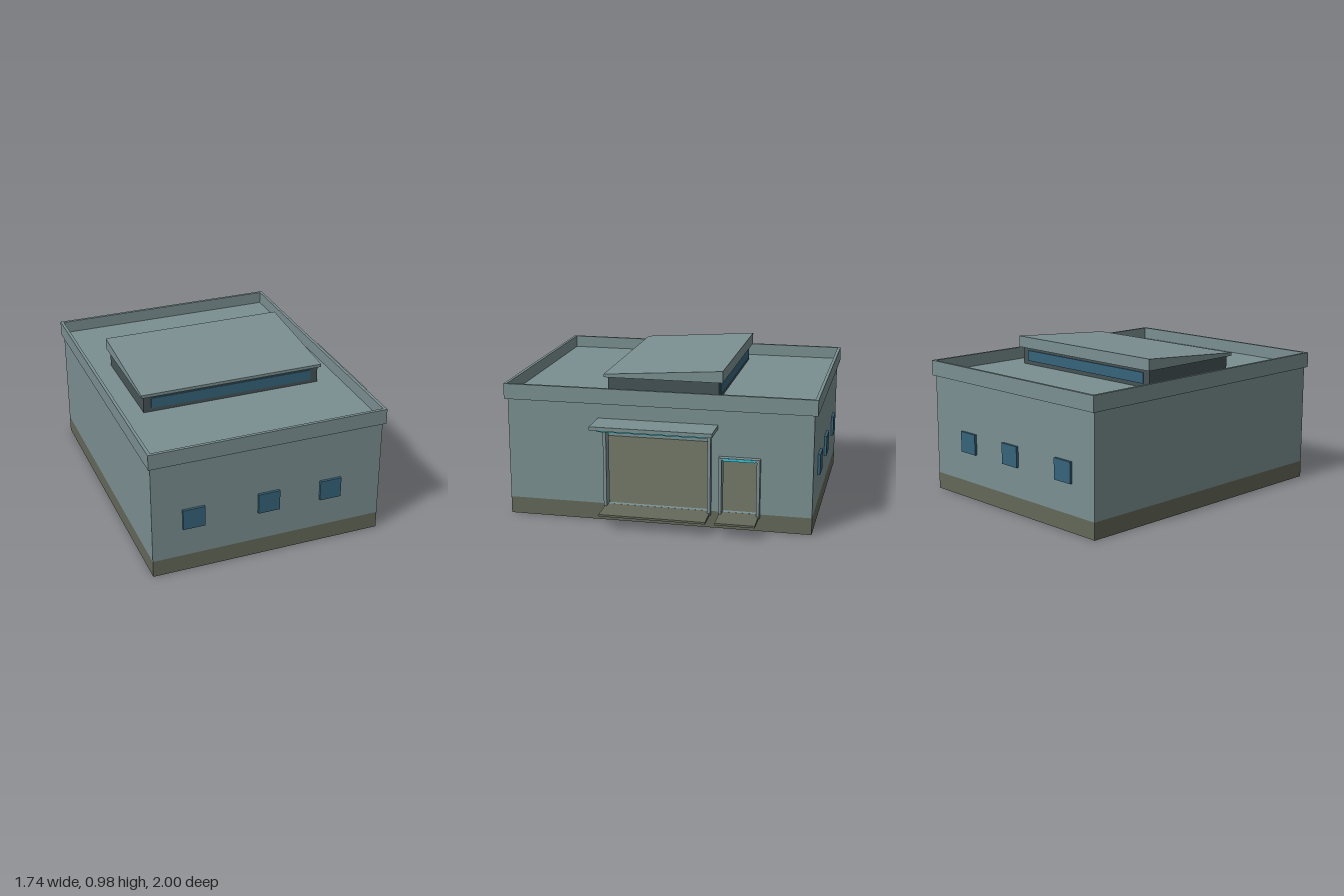
import * as THREE from 'three';

const material = (name, color) => {
  const m = new THREE.MeshStandardMaterial({ color });
  m.name = name;
  return m;
};

export function createModel() {
  const model = new THREE.Group();
  model.name = 'building';
  const wall = material('grey wall', 0x7b8f91);
  const olive = material('olive base', 0x636859);
  const glass = material('blue glass', 0x36647a);
  const dark = material('dark frame', 0x455355);
  const light = material('cyan light', 0x2fc4d8);

  const add = (name, geometry, mat, parent = model) => {
    const mesh = new THREE.Mesh(geometry, mat);
    mesh.name = name;
    parent.add(mesh);
    return mesh;
  };
  // Box given by its limits on each axis
  const box = (name, mat, x0, x1, y0, y1, z0, z1, parent) => {
    const g = new THREE.BoxGeometry(x1 - x0, y1 - y0, z1 - z0);
    g.translate((x0 + x1) / 2, (y0 + y1) / 2, (z0 + z1) / 2);
    return add(name, g, mat, parent);
  };
  const polygon = (points, Kind = THREE.Shape) =>
    new Kind(points.map(([a, b]) => new THREE.Vector2(a, b)));
  const rect = (a0, a1, b0, b1) => [[a0, b0], [a1, b0], [a1, b1], [a0, b1]];
  // Outline in (-z, y), pushed along x from x0 to x1
  const alongX = (shape, x0, x1) => new THREE.ExtrudeGeometry(shape, { depth: x1 - x0, bevelEnabled: false })
    .rotateY(Math.PI / 2).translate(x0, 0, 0);

  const X0 = -0.855, X1 = 0.66, Z = 0.98, FLOOR = 0.11, EAVES = 0.77, T = 0.03;
  const doors = [
    { name: 'largeDoor', z: 0, half: 0.345, top: 0.63 },
    { name: 'smallDoor', z: -0.525, half: 0.13, top: 0.475 },
  ];

  // Plinth, whose top is the inside floor, and hollow shell
  box('base', olive, X0, X1, 0, FLOOR, -Z, Z);
  box('frontWall', wall, X0, X1 - T, FLOOR, EAVES, Z - T, Z);
  box('backWall', wall, X0, X1 - T, FLOOR, EAVES, -Z, -Z + T);
  box('plainSideWall', wall, X0, X0 + T, FLOOR, EAVES, -Z + T, Z - T);
  const doorWall = polygon(rect(-Z, Z, FLOOR, EAVES));
  for (const d of doors) {
    const h = d.half - 0.02;
    doorWall.holes.push(polygon(rect(-d.z - h, -d.z + h, FLOOR + 0.0005, d.top - 0.017), THREE.Path));
  }
  add('doorWall', alongX(doorWall, X1 - T, X1), wall);

  // Flat roof and raised parapet
  box('roof', wall, -0.852, 0.657, EAVES, 0.79, -0.982, 0.982);
  const rim = polygon(rect(-0.87, 0.675, -1, 1));
  rim.holes.push(polygon(rect(-0.85, 0.655, -0.98, 0.98), THREE.Path));
  add('parapet', new THREE.ExtrudeGeometry(rim, { depth: 0.1, bevelEnabled: false })
    .rotateX(-Math.PI / 2).translate(0, EAVES, 0), wall);

  // Doorways: surround, light under the lintel and sloping sill
  for (const d of doors) {
    const g = new THREE.Group();
    g.name = d.name;
    model.add(g);
    const c = -d.z, o = d.half, i = o - 0.02, lintel = d.top - 0.015;
    add('doorFrame', alongX(polygon([
      [c - o, 0.09], [c - i, 0.09], [c - i, lintel], [c + i, lintel],
      [c + i, 0.09], [c + o, 0.09], [c + o, d.top], [c - o, d.top],
    ]), X1, 0.70), wall, g);
    box('doorLight', light, X1 - 0.01, 0.701, lintel - 0.003, lintel + 0.012, d.z - i + 0.01, d.z + i - 0.01, g);
    const sill = new THREE.ExtrudeGeometry(
      polygon([[X1, 0.085], [0.84, 0.085], [0.84, 0.098], [X1, FLOOR]]),
      { depth: 2 * o - 0.01, bevelEnabled: false });
    add('sill', sill.translate(0, 0, d.z - o + 0.005), olive, g);
  }

  // Canopy over the large door
  box('canopy', wall, X1, 0.865, 0.65, 0.675, -0.385, 0.385);
  box('canopyLight', light, 0.67, 0.84, 0.637, 0.65, -0.345, 0.345);

  // Clerestory with glazing under a sloping lid
  box('clerestory', dark, -0.69, 0.5, 0.79, 0.905, -0.36, 0.36);
  for (const s of [-1, 1]) {
    const z = s * 0.363;
    box('clerestoryGlass', glass, -0.64, 0.45, 0.815, 0.885, z - 0.004, z + 0.004);
  }
  add('slopingLid', alongX(polygon([
    [-0.385, 0.905], [0.385, 0.905], [0.385, 0.98], [-0.385, 0.925],
  ]), -0.71, 0.515), wall);

  // Square windows on front and back
  for (const s of [-1, 1]) {
    for (const x of [-0.59, -0.1, 0.315]) {
      const z = s * (Z + 0.006);
      box('window', glass, x - 0.071, x + 0.071, 0.305, 0.44, z - 0.01, z + 0.01);
    }
  }
  return model;
}
